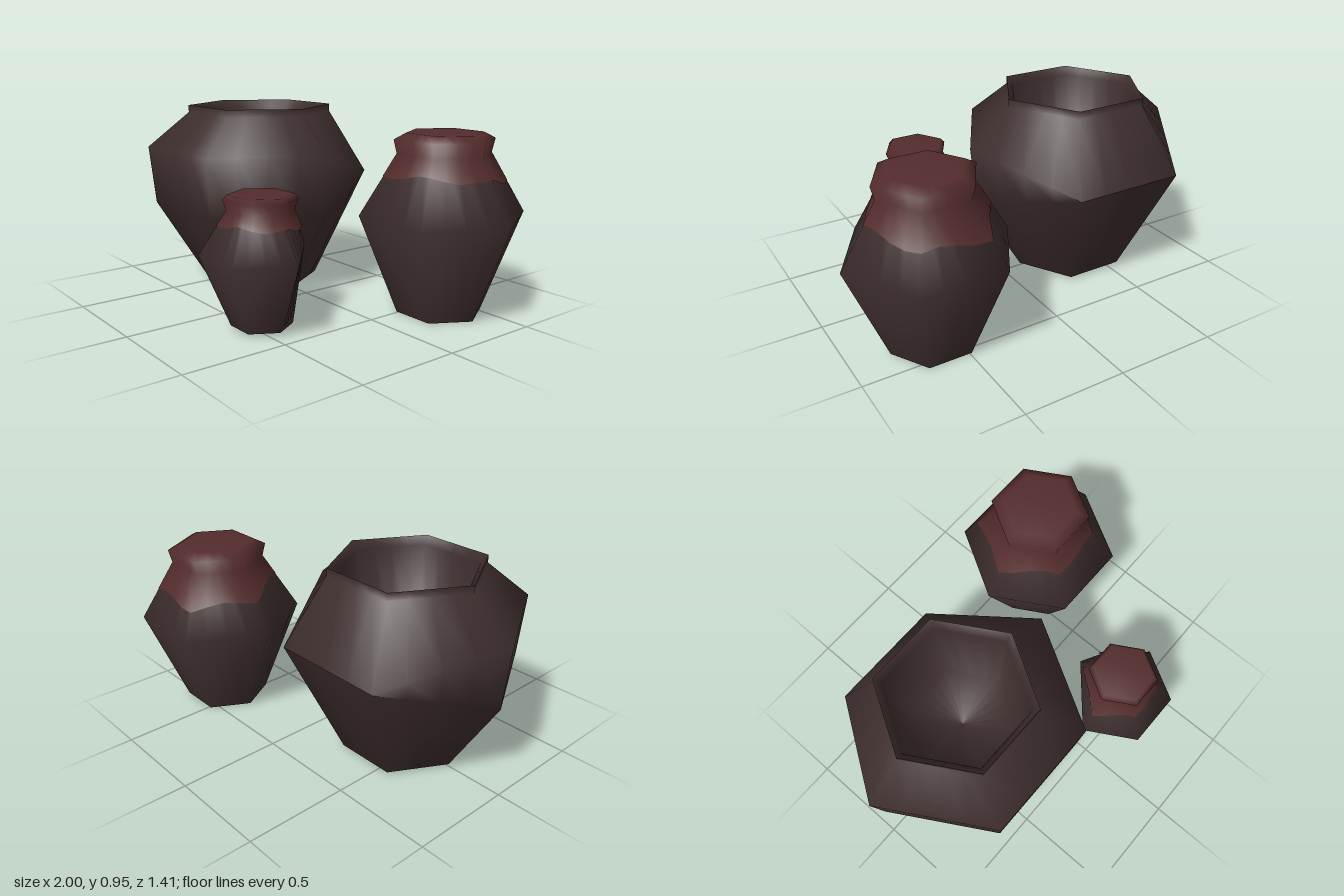
import * as THREE from 'three';

const SIDES = 6, SUB = 4; // six flat sides, each split so cloth hems can wave

// Six-sided turned shell with smooth normals. Profile is [radius, y], listed
// upwards on the outside. backCorner(r, y) returns the radius, height and
// width factor of the two back corners; hem(angle) shifts the lowest ring
// along the slope of its wall.
function hexTurned(profile, { backCorner = (r, y) => [r, y, 1], hem = null } = {}) {
  const geo = new THREE.LatheGeometry(
    profile.map(([r, y]) => new THREE.Vector2(r, y)), SIDES * SUB, Math.PI / 2);
  geo.normalizeNormals();
  const pos = geo.attributes.position;
  const n = profile.length;
  const slope = (profile[1][0] - profile[0][0]) / (profile[1][1] - profile[0][1]);

  const corner = (k, r, y) => {
    const a = Math.PI / 2 + (k % SIDES) * Math.PI / 3;
    const [cr, cy, width] = k === 1 || k === 2 ? backCorner(r, y) : [r, y, 1];
    return new THREE.Vector3(Math.sin(a) * cr * width, cy, Math.cos(a) * cr);
  };

  for (let i = 0; i < pos.count; i++) {
    const column = Math.floor(i / n), row = i % n;
    let [r, y] = profile[row];
    if (hem && row === 0) {
      const dy = hem(Math.PI / 2 + column * 2 * Math.PI / (SIDES * SUB));
      y += dy;
      r += slope * dy;
    }
    const k = Math.floor(column / SUB);
    const p = corner(k, r, y).lerp(corner(k + 1, r, y), (column % SUB) / SUB);
    pos.setXYZ(i, p.x, p.y, p.z);
  }
  return geo;
}

function addMesh(parent, name, geometry, material) {
  const mesh = new THREE.Mesh(geometry, material);
  mesh.name = name;
  parent.add(mesh);
}

// Hollow clay jar with a cloth tied over its mouth
function coveredJar(name, s, clay, cloth) {
  const jar = new THREE.Group();
  jar.name = name;
  const [base, belly, neck, lip, top] = s.rings;
  const slope = (neck[0] - belly[0]) / (neck[1] - belly[1]);
  const hemRadius = belly[0] + slope * (s.hemY - belly[1]);

  // A pinched jar's back corners meet in one point at the belly
  const backCorner = s.pinched
    ? (r, y) => [r, y, Math.min(1, y < belly[1]
      ? (belly[1] - y) / (belly[1] - base[1])
      : (y - belly[1]) / (neck[1] - belly[1]))]
    : undefined;

  addMesh(jar, 'jarBody', hexTurned([base, belly, neck], { backCorner }), clay);

  // The hem dips at the back left and ripples; a pinched back side stays bare
  const hem = a => s.ripple * (Math.cos(a) + 0.5 * Math.sin(a) + 0.5 * Math.cos(5 * a - 2))
    + (s.pinched && Math.cos(a) < -0.9 ? 0.07 : 0);
  addMesh(jar, 'clothCover', hexTurned([
    [hemRadius + 0.003, s.hemY], [neck[0] + 0.003, neck[1]], lip, top, [0, top[1]],
  ], { backCorner, hem }), cloth);

  jar.position.set(s.x, 0, s.z);
  return jar;
}

export function createModel() {
  const clay = new THREE.MeshStandardMaterial({ color: 0x3e2e2e, side: THREE.DoubleSide });
  clay.name = 'darkClay';
  const cloth = new THREE.MeshStandardMaterial({ color: 0x542c2c, side: THREE.DoubleSide });
  cloth.name = 'redCloth';

  const model = new THREE.Group();
  model.name = 'jars';

  // Wide pot with an open mouth; its two belly rings join at the back corners
  const pot = new THREE.Group();
  pot.name = 'openPot';
  addMesh(pot, 'potBody', hexTurned([
    [0.3, 0.01], [0.56, 0.43], [0.592, 0.73], [0.375, 0.91], [0.375, 0.947],
  ], { backCorner: (r, y) => (r > 0.5 ? [0.576, 0.58, 1] : [r, y, 1]) }), clay);
  // Bevelled rim, inner wall and floor
  addMesh(pot, 'potInside', hexTurned([
    [0.375, 0.947], [0.34, 0.91], [0.27, 0.55], [0, 0.47],
  ]), clay);
  pot.position.set(-0.407, 0, 0);
  model.add(pot);

  model.add(coveredJar('tallJar', {
    x: 0.595, z: -0.356, hemY: 0.65, ripple: 0.028,
    rings: [[0.21, 0], [0.403, 0.48], [0.226, 0.77], [0.245, 0.835], [0.187, 0.865]],
  }, clay, cloth));

  model.add(coveredJar('smallJar', {
    x: 0.264, z: 0.457, hemY: 0.47, ripple: 0.022, pinched: true,
    rings: [[0.142, 0.015], [0.281, 0.35], [0.15, 0.55], [0.17, 0.597], [0.148, 0.62]],
  }, clay, cloth));

  return model;
}
